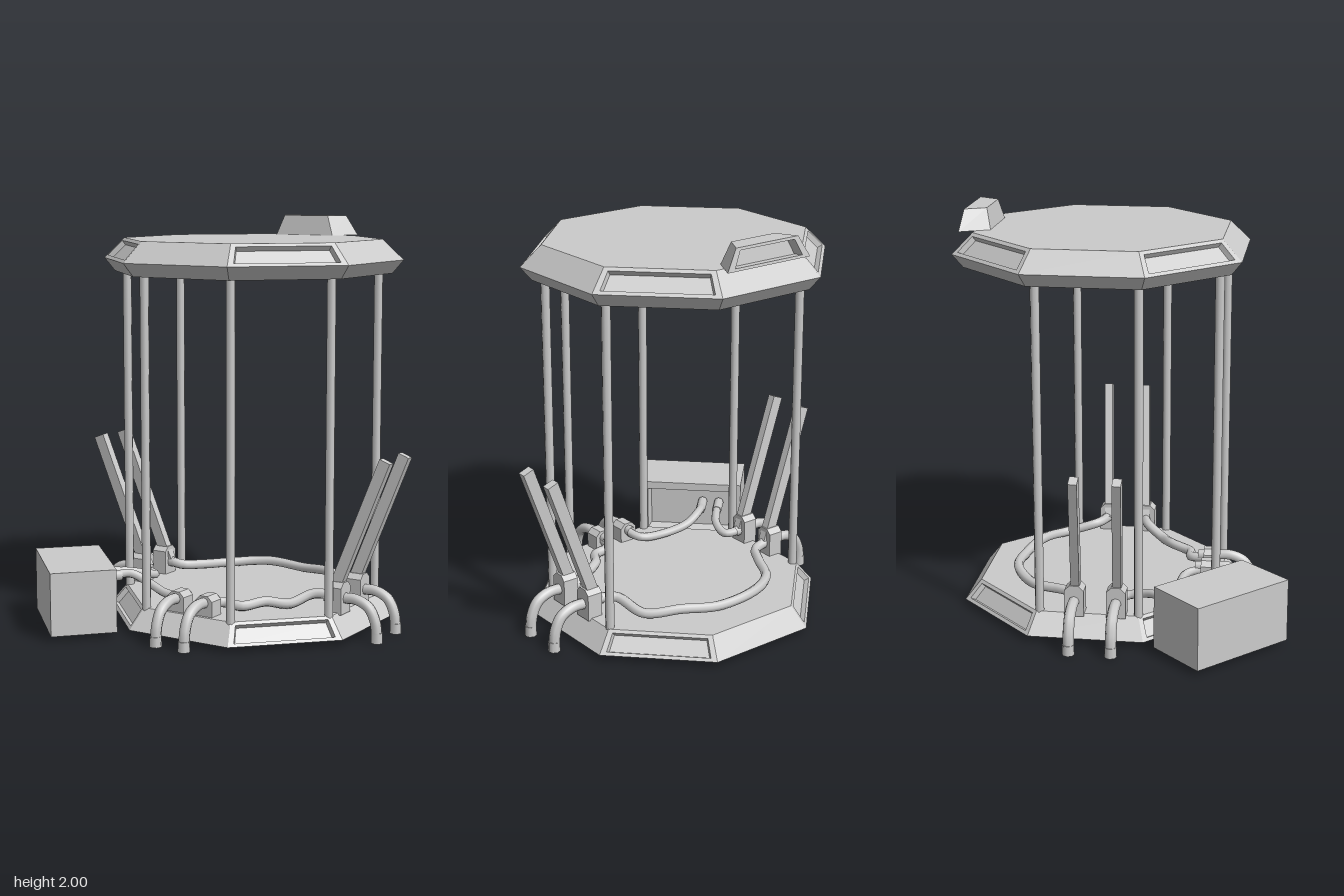
import * as THREE from 'three';

const V = (x, y, z) => new THREE.Vector3(x, y, z);
const CX = 0.05, CZ = -0.135; // axis of the octagonal pod

export function createModel() {
  const model = new THREE.Group();
  const flat = new THREE.MeshStandardMaterial({ color: 0xcccccc, flatShading: true });
  const smooth = new THREE.MeshStandardMaterial({ color: 0xcccccc });

  function add(parent, name, geometry, material = flat) {
    const mesh = new THREE.Mesh(geometry, material);
    mesh.name = name;
    parent.add(mesh);
    return mesh;
  }

  // Faces collected as flat triangles
  class Faces {
    constructor() { this.points = []; }
    tri(a, b, c) { this.points.push(a, b, c); }
    quad(a, b, c, d) { this.tri(a, b, c); this.tri(a, c, d); }
    // Framed quad with a recessed field; corners run bottom left, bottom right, top right, top left
    panel(a, b, c, d, u, v, depth) {
      const at = (s, t) => a.clone().lerp(b, s).lerp(d.clone().lerp(c, s), t);
      const n = b.clone().sub(a).cross(d.clone().sub(a)).normalize().multiplyScalar(-depth);
      const outer = [a, b, c, d];
      const rim = [at(u, v), at(1 - u, v), at(1 - u, 1 - v), at(u, 1 - v)];
      const sunk = [at(u * 1.3, v * 1.3), at(1 - u * 1.3, v * 1.3), at(1 - u * 1.3, 1 - v * 1.3), at(u * 1.3, 1 - v * 1.3)]
        .map(p => p.add(n));
      for (let i = 0; i < 4; i++) {
        const j = (i + 1) % 4;
        this.quad(outer[i], outer[j], rim[j], rim[i]);
        this.quad(rim[i], rim[j], sunk[j], sunk[i]);
      }
      this.quad(...sunk);
    }
    geometry() {
      const g = new THREE.BufferGeometry().setFromPoints(this.points);
      g.computeVertexNormals();
      return g;
    }
  }

  // Octagonal slab from [apothem, y] rings, with recessed panels in the diagonal sides of the top band
  function slab(rings) {
    const f = new Faces();
    const corner = ([r, y], k) => {
      const t = (k + 0.5) * Math.PI / 4, R = r / Math.cos(Math.PI / 8);
      return V(CX + R * Math.sin(t), y, CZ + R * Math.cos(t));
    };
    const low = rings[0], high = rings[rings.length - 1];
    for (let k = 0; k < 8; k++) {
      for (let i = 0; i < rings.length - 1; i++) {
        const q = [corner(rings[i], k - 1), corner(rings[i], k), corner(rings[i + 1], k), corner(rings[i + 1], k - 1)];
        if (k % 2 && i === rings.length - 2) f.panel(...q, 0.05, 0.14, 0.025);
        else f.quad(...q);
      }
      f.tri(V(CX, high[1], CZ), corner(high, k - 1), corner(high, k));
      f.tri(V(CX, low[1], CZ), corner(low, k), corner(low, k - 1));
    }
    return f.geometry();
  }

  // Six-sided solid from a lower and an upper outline; the third side is recessed
  function panelledBlock(lower, upper, depth) {
    const f = new Faces();
    for (let i = 0; i < 4; i++) {
      const j = (i + 1) % 4, q = [lower[i], lower[j], upper[j], upper[i]];
      if (i === 2) f.panel(...q, 0.08, 0.13, depth);
      else f.quad(...q);
    }
    f.quad(...upper);
    f.quad(lower[3], lower[2], lower[1], lower[0]);
    return f.geometry();
  }

  function hose(parent, name, points, radius = 0.025) {
    const curve = new THREE.CatmullRomCurve3(points.map(p => V(...p)));
    add(parent, name, new THREE.TubeGeometry(curve, points.length * 6, radius, 8), smooth);
  }

  // Floor and roof
  add(model, 'base', slab([[0.675, 0.03], [0.597, 0.13]]));
  add(model, 'roof', slab([[0.64, 1.735], [0.69, 1.8], [0.595, 1.9]]));

  // Hood on the rear edge of the roof
  add(model, 'roofHood', panelledBlock(
    [V(-0.115, 1.9, -0.66), V(0.215, 1.9, -0.66), V(0.29, 1.9, -0.8), V(-0.19, 1.9, -0.8)],
    [V(-0.08, 2, -0.683), V(0.175, 2, -0.683), V(0.23, 2, -0.783), V(-0.13, 2, -0.783)], 0.04));

  // Posts at the front and side corners; the rear bay stays open
  for (const [x, z] of [[0.24, 0.585], [0.58, 0.245], [0.58, -0.235]])
    for (const s of [-1, 1])
      add(model, 'post', new THREE.CylinderGeometry(0.022, 0.022, 1.64, 8), smooth)
        .position.set(CX + s * x, 0.93, CZ + z);

  // Clamp with a hose hanging over the rim; local +z points outward
  function clamp(name, x, z, angle, height, lever) {
    const g = new THREE.Group();
    g.name = name;
    g.position.set(x, 0, z);
    g.rotation.y = angle;
    model.add(g);
    const w = 0.047, c = 0.025, y0 = 0.12, y1 = height;
    const outline = new THREE.Shape([[-w, y0], [w, y0], [w, y1 - c], [w - c, y1], [c - w, y1], [-w, y1 - c]]
      .map(p => new THREE.Vector2(...p)));
    add(g, 'clampBlock', new THREE.ExtrudeGeometry(outline, { depth: 0.08, bevelEnabled: false }))
      .position.z = -0.04;
    hose(g, 'drainHose', [[0, 0.19, -0.07], [0, 0.195, 0.03], [0, 0.195, 0.1], [0, 0.165, 0.165],
      [0, 0.1, 0.2], [0, 0.02, 0.21]], 0.027);
    add(g, 'hoseTip', new THREE.CylinderGeometry(0.028, 0.03, 0.05, 8), smooth).position.set(0, 0.025, 0.21);
    if (lever) {
      // Square bar leaning outward
      const a = V(0, 0.2, -0.03), b = V(0.035, 0.875, 0.23);
      const bar = add(g, 'lever', new THREE.BoxGeometry(0.042, a.distanceTo(b), 0.058));
      bar.position.copy(a).lerp(b, 0.5);
      bar.quaternion.setFromUnitVectors(V(0, 1, 0), b.sub(a).normalize());
    }
  }
  for (const z of [0.005, -0.197]) {
    clamp('leftClamp', CX + 0.575, z, Math.PI / 2, 0.275, true);
    clamp('rightClamp', CX - 0.575, z, -Math.PI / 2, 0.275, true);
  }
  for (const x of [-0.025, 0.135]) clamp('frontClamp', x, 0.405, 0, 0.23, false);

  // Loose hoses over the floor
  hose(model, 'floorHose', [[0.6, 0.2, 0], [0.5, 0.2, 0.03], [0.42, 0.16, 0.12], [0.32, 0.17, 0.18],
    [0.25, 0.16, 0.28], [0.15, 0.17, 0.3], [0.135, 0.18, 0.4]]);
  hose(model, 'rearFloorHose', [[0.6, 0.2, -0.2], [0.5, 0.2, -0.24], [0.45, 0.16, -0.4], [0.3, 0.175, -0.5],
    [0.12, 0.16, -0.56], [-0.1, 0.17, -0.56], [-0.28, 0.16, -0.45], [-0.36, 0.17, -0.3],
    [-0.42, 0.18, -0.21], [-0.52, 0.2, -0.2]]);

  // Equipment box standing off the front corner
  const outline = [[-0.886, 0.43], [-0.49, 0.82], [-0.27, 0.585], [-0.66, 0.2]];
  add(model, 'equipmentBox', panelledBlock(
    outline.map(([x, z]) => V(x, 0.025, z)), outline.map(([x, z]) => V(x, 0.335, z)), 0.05));

  // Connectors and hoses between the box and the clamps
  for (const [x, z] of [[-0.545, 0.255], [-0.485, 0.32]]) {
    const c = add(model, 'boxConnector', new THREE.CylinderGeometry(0.026, 0.026, 0.12, 8), smooth);
    c.position.set(x - 0.01, 0.22, z + 0.01);
    c.quaternion.setFromUnitVectors(V(0, 1, 0), V(1, 0, -1).normalize());
  }
  hose(model, 'boxHose', [[-0.55, 0.22, 0.26], [-0.49, 0.22, 0.2], [-0.43, 0.2, 0.12],
    [-0.42, 0.18, 0.04], [-0.51, 0.19, 0.005]], 0.022);
  hose(model, 'boxHose', [[-0.49, 0.22, 0.325], [-0.42, 0.23, 0.26], [-0.32, 0.19, 0.24],
    [-0.2, 0.16, 0.27], [-0.06, 0.165, 0.3], [-0.025, 0.18, 0.4]], 0.022);

  return model;
}
